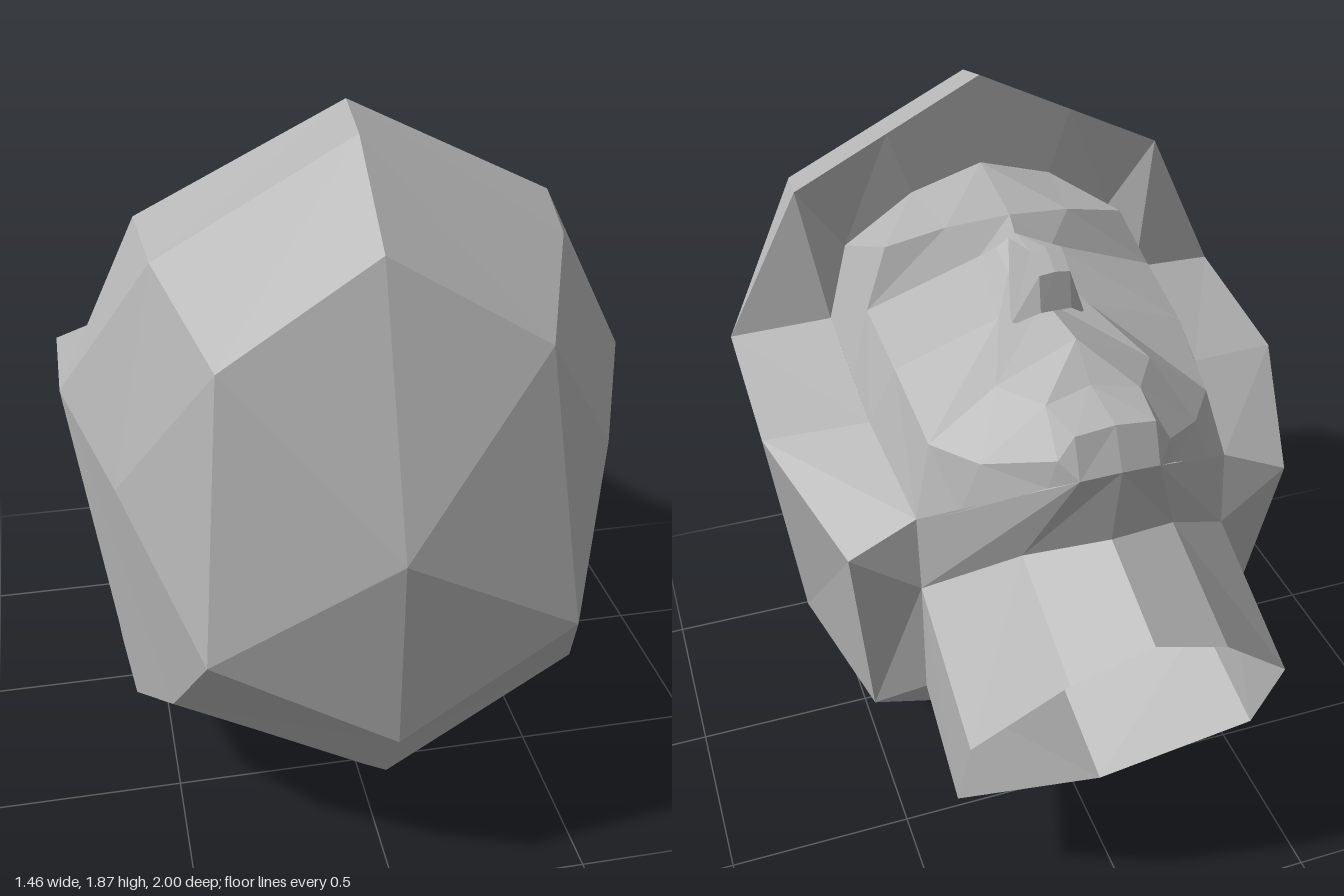
import * as THREE from 'three';

const stone = new THREE.MeshStandardMaterial({ color: 0xb4b4b4, flatShading: true, side: THREE.DoubleSide });
stone.name = 'plain grey';

// Skin a grid of points given for the +x half (rows of equal length) and mirror it to -x
function mirroredSheet(name, rows, flip = false) {
  const pos = [];
  const tri = (a, b, c) => {
    const [A, B, C] = [a, b, c].map(p => new THREE.Vector3(...p));
    if (B.clone().sub(A).cross(C.clone().sub(A)).length() < 1e-6) return;
    const [q, r] = flip ? [c, b] : [b, c];
    pos.push(...a, ...q, ...r);
    for (const p of [a, r, q]) pos.push(-p[0], p[1], p[2]);
  };
  for (let i = 0; i < rows.length - 1; i++) {
    for (let j = 0; j < rows[i].length - 1; j++) {
      const a = rows[i][j], b = rows[i][j + 1], c = rows[i + 1][j + 1], d = rows[i + 1][j];
      tri(a, d, c);
      tri(a, c, b);
    }
  }
  const geo = new THREE.BufferGeometry();
  geo.setAttribute('position', new THREE.Float32BufferAttribute(pos, 3));
  geo.computeVertexNormals();
  const mesh = new THREE.Mesh(geo, stone);
  mesh.name = name;
  return mesh;
}

export function createModel() {
  const head = new THREE.Group();
  head.name = 'lowPolyHead';

  // Shared outline points
  const hairTop = [0, 1.87, 0.3], hairMid = [0.26, 1.74, 0.3], hairCorner = [0.52, 1.61, 0.3];
  const temple = [0.73, 1.18, 0.34], crownSide = [0.62, 1.04, 0.61];
  const sideEdge = [0.73, 1.12, -0.1], napeCorner = [0.6, 0.98, -0.48];
  const jawCorner = [0.42, 1.06, -0.47], chinTip = [0, 1.31, -0.76], chinSide = [0.1, 1.3, -0.75];
  const neckBase = [[0, 1.08, -0.72], [0.2, 1.02, -0.64], [0.42, 0.85, -0.49], [0.41, 0.46, -0.45], [0, 0.3, -0.42]];
  const neckEnd = [[0, 0.98, -1], [0.2, 0.9, -0.98], [0.42, 0.68, -0.9], [0.42, 0.36, -0.77], [0, 0.23, -0.72]];
  const cheekTop = [0.39, 1.41, 0.78];

  // Hair cap: each row runs from the centre line out to the side edge
  head.add(mirroredSheet('hair', [
    [hairTop, hairCorner, temple],
    [[0, 1.83, 0.45], [0.5, 1.565, 0.49], temple],
    [[0, 1.64, 0.73], cheekTop, crownSide],
    [[0, 1, 1], cheekTop, crownSide],
    [[0, 0.48, 0.98], [0.45, 0.73, 0.93], crownSide],
    [[0, 0.285, 0.86], [0.52, 0.475, 0.73], crownSide],
    [[0, 0.09, 0.62], [0.6, 0.34, 0.5], temple],
    [[0, 0, 0.18], [0.62, 0.28, 0.18], sideEdge],
    [[0, 0.06, -0.22], [0.54, 0.36, -0.37], napeCorner],
    [neckBase[4], neckBase[3], neckBase[2]],
  ]));

  // Face: rows from hairline to chin, centre line out to the edge
  const hairline = [[0, 1.62, 0.3], [0.2, 1.56, 0.3], [0.39, 1.42, 0.32], [0.46, 1.24, 0.25]];
  const cheekEdge = [0.46, 1.17, -0.18];
  head.add(mirroredSheet('face', [
    hairline,
    [[0, 1.58, 0.05], [0.17, 1.56, 0.07], [0.33, 1.52, 0.09], [0.46, 1.21, 0.06]],
    [[0, 1.54, 0], [0.1, 1.5, 0], [0.4, 1.37, 0.04], [0.46, 1.2, 0]],
    [[0, 1.47, -0.22], [0.12, 1.44, -0.22], [0.39, 1.33, -0.2], cheekEdge],
    [[0, 1.49, -0.45], [0.2, 1.39, -0.44], [0.37, 1.25, -0.43], jawCorner],
    [[0, 1.42, -0.55], [0.12, 1.4, -0.57], [0.28, 1.26, -0.56], [0.33, 1.12, -0.55]],
    [[0, 1.41, -0.71], [0.1, 1.4, -0.71], [0.14, 1.34, -0.71], [0.16, 1.26, -0.7]],
    [chinTip, chinSide, chinSide, chinSide],
  ], true));

  // Thickness of the hair around the face
  head.add(mirroredSheet('hairRim', [
    [hairTop, hairMid, hairCorner, temple, sideEdge, napeCorner],
    [...hairline, cheekEdge, jawCorner],
  ], true));

  // Wedge nose
  const nostril = [0.1, 1.43, -0.25];
  head.add(mirroredSheet('nose', [
    [[0, 1.55, 0], [0.02, 1.54, 0], [0.1, 1.49, 0]],
    [[0, 1.625, -0.23], [0.04, 1.62, -0.23], nostril],
    [[0, 1.59, -0.295], [0.04, 1.585, -0.295], nostril],
    [[0, 1.49, -0.31], [0.04, 1.49, -0.31], nostril],
  ], true));

  // Underside of the jaw, then the open neck
  head.add(mirroredSheet('jaw', [
    [chinTip, chinSide, jawCorner, napeCorner],
    [neckBase[0], neckBase[1], neckBase[2], neckBase[2]],
  ], true));
  head.add(mirroredSheet('neck', [neckBase, neckEnd], true));

  return head;
}
